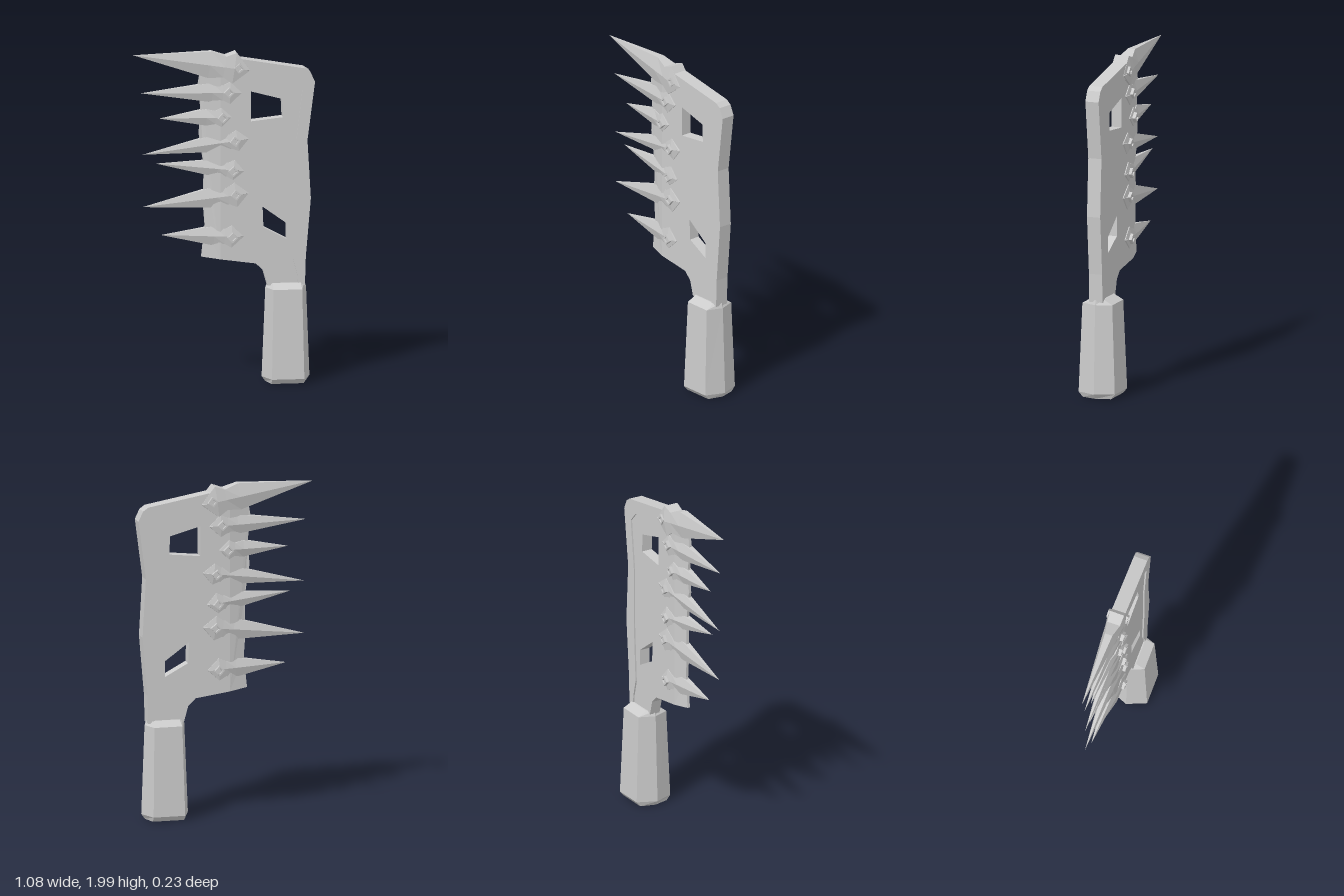
import * as THREE from 'three';

const material = new THREE.MeshStandardMaterial({ color: 0xcccccc, flatShading: true });

function addMesh(parent, name, geometry) {
  const mesh = new THREE.Mesh(geometry, material);
  mesh.name = name;
  parent.add(mesh);
  return mesh;
}

// Joins equal-sized rings of [x, y, z] points, counter-clockwise as seen from the last ring
function loft(rings) {
  const n = rings[0].length;
  const index = [];
  for (let r = 0; r < rings.length - 1; r++) {
    for (let i = 0; i < n; i++) {
      const a = r * n + i, b = r * n + (i + 1) % n;
      index.push(a, b, b + n, a, b + n, a + n);
    }
  }
  const last = (rings.length - 1) * n;
  for (let i = 1; i < n - 1; i++) {
    index.push(0, i + 1, i, last, last + i, last + i + 1);
  }
  const geometry = new THREE.BufferGeometry();
  geometry.setAttribute('position', new THREE.Float32BufferAttribute(rings.flat(2), 3));
  geometry.setIndex(index);
  const flat = geometry.toNonIndexed();
  flat.computeVertexNormals();
  return flat;
}

// Flat plate centred on z = 0
function plate(outline, halfDepth, holes = []) {
  const toPoints = (list) => list.map(([x, y]) => new THREE.Vector2(x, y));
  const shape = new THREE.Shape(toPoints(outline));
  shape.holes = holes.map((hole) => new THREE.Path(toPoints(hole)));
  const geometry = new THREE.ExtrudeGeometry(shape, { depth: 2 * halfDepth, bevelEnabled: false });
  return geometry.translate(0, 0, -halfDepth);
}

// Six-sided spike lying along x, its blunt end at the origin and its tip at -length
function spikeGeometry(length, k, thick) {
  // distance from end, half height, shoulder depth, ridge depth
  const stations = [
    [length, 0, 0, 0],
    [0.165 * k, 0.055 * k, 0.02, 0.037],
    [0.105 * k, 0.043 * k, 0.035, 0.043],
    [0.065 * k, 0.064 * k, 0.038, 0.05],
    [0, 0.002, 0.038, 0.042],
  ];
  return loft(stations.map(([d, h, e, z]) => [
    [-d, h, e * thick], [-d, 0, z * thick], [-d, -h, e * thick],
    [-d, -h, -e * thick], [-d, 0, -z * thick], [-d, h, -e * thick],
  ]));
}

export function createModel() {
  const model = new THREE.Group();
  model.name = 'spikedCleaver';

  // Handle: hexagonal grip with chamfered ends; y, xMin, flatLeft, flatRight, xMax, half depth
  const grip = [
    [0, 0.25, 0.275, 0.465, 0.49, 0.09],
    [0.03, 0.228, 0.275, 0.467, 0.512, 0.115],
    [0.565, 0.25, 0.287, 0.457, 0.492, 0.095],
    [0.595, 0.262, 0.29, 0.455, 0.482, 0.04],
  ];
  addMesh(model, 'handle', loft(grip.map(([y, x0, x1, x2, x3, z]) => [
    [x2, y, z], [x3, y, 0], [x2, y, -z], [x1, y, -z], [x0, y, 0], [x1, y, z],
  ])));

  // Blade body with two cut-outs
  const bladeDepth = 0.033;
  const upperHole = [[0.16, 1.75], [0.345, 1.7], [0.35, 1.59], [0.16, 1.57]];
  const lowerHole = [[0.23, 1.055], [0.375, 0.95], [0.375, 0.855], [0.235, 0.93]];
  addMesh(model, 'blade', plate([
    [-0.02, 0.745], [0.19, 0.715], [0.235, 0.67], [0.26, 0.58], [0.45, 0.58],
    [0.45, 1.1], [0.45, 1.45], [0.49, 1.78], [0.44, 1.84], [0.1, 1.9], [-0.02, 1.9],
  ], bladeDepth, [upperHole, lowerHole]));

  // Cutting edge: strip thinned towards its outer side
  const edge = plate([
    [-0.02, 0.745], [-0.02, 1.9], [-0.14, 1.86], [-0.15, 1.8], [-0.135, 1.65],
    [-0.145, 1.5], [-0.115, 1.3], [-0.12, 1.08], [-0.11, 0.95], [-0.13, 0.76],
  ], bladeDepth);
  const position = edge.attributes.position;
  for (let i = 0; i < position.count; i++) {
    if (position.getX(i) < -0.05) position.setZ(i, position.getZ(i) * 0.25);
  }
  edge.computeVertexNormals();
  addMesh(model, 'cuttingEdge', edge);

  // Thick raised spine along the back and top
  addMesh(model, 'spine', plate([
    [0.03, 1.96], [0.12, 1.945], [0.48, 1.882], [0.512, 1.86], [0.54, 1.8], [0.495, 1.45],
    [0.515, 1.1], [0.485, 0.75], [0.48, 0.58], [0.44, 0.58], [0.435, 0.64], [0.41, 0.74],
    [0.43, 1.1], [0.43, 1.45], [0.465, 1.75], [0.41, 1.81], [0.09, 1.855], [0.03, 1.86],
  ], 0.042));

  // Spikes: tip, blunt end, stud centre, scale, thickness
  const spikes = [
    [[-0.535, 1.98], [0.155, 1.88], [0.09, 1.895], 1.45, 1.15],
    [[-0.49, 1.75], [0.105, 1.745], [0.03, 1.75], 1.05, 1],
    [[-0.38, 1.595], [0.045, 1.6], [-0.007, 1.597], 0.9, 1],
    [[-0.48, 1.38], [0.145, 1.467], [0.065, 1.455], 1.0, 1],
    [[-0.4, 1.325], [0.12, 1.275], [0.055, 1.275], 0.95, 1],
    [[-0.48, 1.065], [0.145, 1.14], [0.07, 1.133], 1.15, 1],
    [[-0.37, 0.895], [0.115, 0.88], [0.05, 0.877], 1.05, 1],
  ];
  // Square stud with a shallow recess in each face
  const studProfile = [[0, -0.056], [0.016, -0.056], [0.018, -0.063], [0.031, -0.063],
    [0.031, 0.063], [0.018, 0.063], [0.016, 0.056], [0, 0.056]];
  const studGeometry = new THREE.LatheGeometry(
    studProfile.map(([r, y]) => new THREE.Vector2(r, y)), 4).rotateX(Math.PI / 2);

  for (const [tip, end, stud, scale, thick] of spikes) {
    const dx = end[0] - tip[0], dy = end[1] - tip[1];
    const angle = Math.atan2(dy, dx);
    const spike = addMesh(model, 'spike', spikeGeometry(Math.hypot(dx, dy), scale, thick));
    spike.position.set(end[0], end[1], 0);
    spike.rotation.z = angle;
    const rivet = addMesh(model, 'stud', studGeometry);
    rivet.position.set(stud[0], stud[1], 0);
    rivet.rotation.z = angle;
  }
  return model;
}
